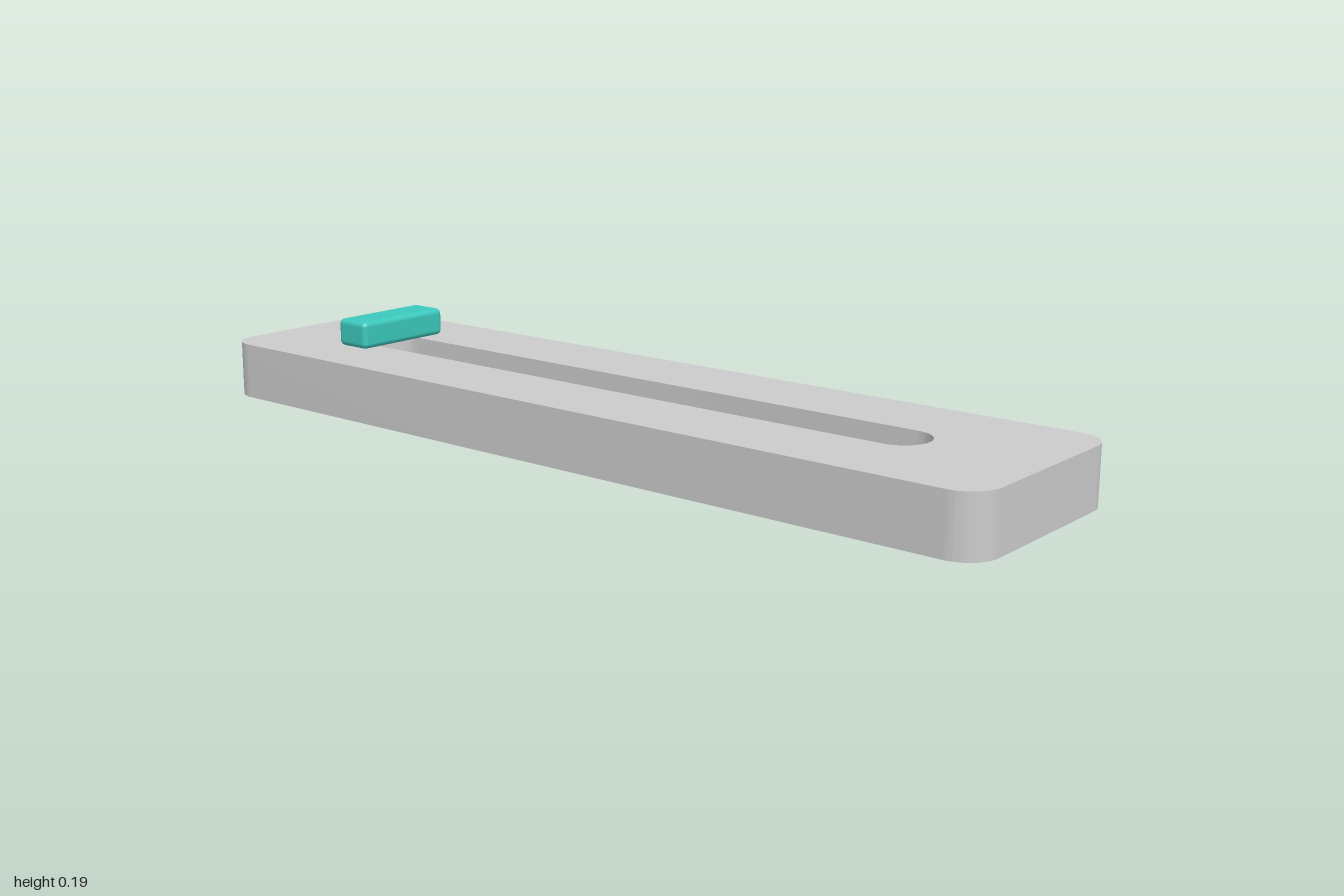
import * as THREE from 'three';
import { RoundedBoxGeometry } from 'three/addons/geometries/RoundedBoxGeometry.js';
import { toCreasedNormals } from 'three/addons/utils/BufferGeometryUtils.js';

// Rounded rectangle outline centred on the origin
function roundedRect(path, halfW, halfH, r) {
  const x = halfW - r, y = halfH - r;
  path.absarc(x, y, r, 0, Math.PI / 2);
  path.absarc(-x, y, r, Math.PI / 2, Math.PI);
  path.absarc(-x, -y, r, Math.PI, Math.PI * 1.5);
  path.absarc(x, -y, r, Math.PI * 1.5, Math.PI * 2);
  path.closePath();
  return path;
}

// Round-ended slot outline centred on the origin
function slotOutline(halfLength, r) {
  const path = new THREE.Path();
  const x = halfLength - r;
  path.absarc(x, 0, r, -Math.PI / 2, Math.PI / 2);
  path.absarc(-x, 0, r, Math.PI / 2, Math.PI * 1.5);
  path.closePath();
  return path;
}

export function createModel() {
  const group = new THREE.Group();
  group.name = 'slottedTrack';

  // Base plate with a through slot
  const outline = roundedRect(new THREE.Shape(), 1, 0.25, 0.07);
  outline.holes.push(slotOutline(0.75, 0.0625));
  const plateGeometry = new THREE.ExtrudeGeometry(outline, {
    depth: 0.126, bevelEnabled: false, curveSegments: 16,
  });
  plateGeometry.rotateX(-Math.PI / 2);
  const plate = new THREE.Mesh(
    toCreasedNormals(plateGeometry, 0.6),
    new THREE.MeshStandardMaterial({ color: 0xcccccc }),
  );
  plate.name = 'basePlate';
  group.add(plate);

  // Slider bar hovering just above the left end of the slot in front view
  const slider = new THREE.Mesh(
    new RoundedBoxGeometry(0.09, 0.063, 0.248, 4, 0.0125),
    new THREE.MeshStandardMaterial({ color: 0x3cc8bc }),
  );
  slider.name = 'slider';
  slider.position.set(-0.707, 0.161, 0.003);
  group.add(slider);

  return group;
}
